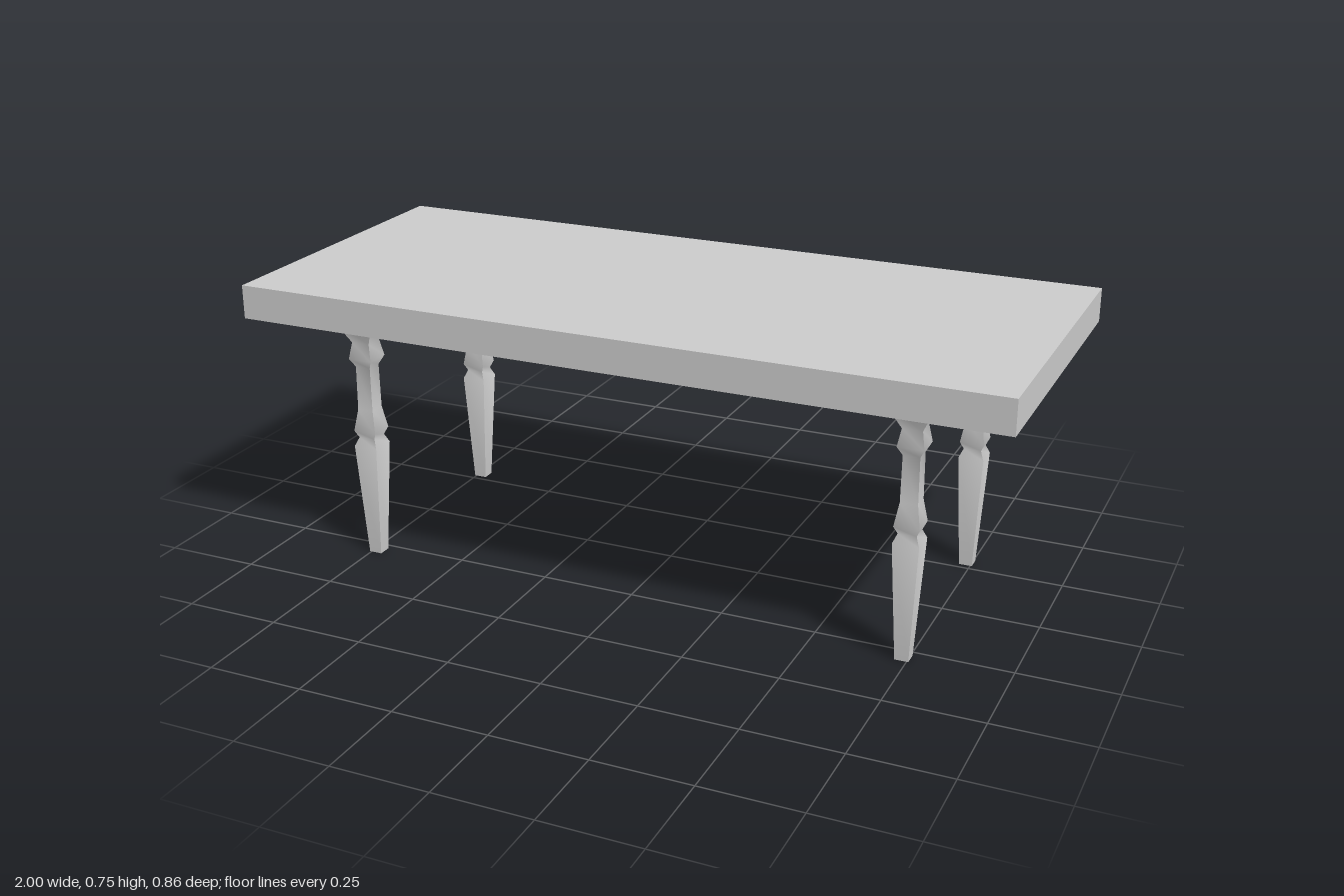
import * as THREE from 'three';
import { toCreasedNormals } from 'three/addons/utils/BufferGeometryUtils.js';

export function createModel() {
  const model = new THREE.Group();
  model.name = 'table';
  const material = new THREE.MeshStandardMaterial({ color: 0xcccccc });

  // Table top: a plain thick slab
  const top = new THREE.Mesh(new THREE.BoxGeometry(2, 0.088, 0.864), material);
  top.name = 'tableTop';
  top.position.y = 0.711;
  model.add(top);

  // Leg profile as [half width, height], from foot to flared head
  const profile = [
    [0, 0], [0.0175, 0], [0.033, 0.31], [0.023, 0.333], [0.032, 0.353],
    [0.022, 0.412], [0.021, 0.53], [0.033, 0.553], [0.025, 0.597], [0.06, 0.667],
  ];
  // Four-sided lathe gives a square section; corners stay sharp
  const points = profile.map(([half, y]) => new THREE.Vector2(half * Math.SQRT2, y));
  const legGeometry = toCreasedNormals(
    new THREE.LatheGeometry(points, 4, Math.PI / 4), THREE.MathUtils.degToRad(65));

  // Four legs mirrored about both axes
  for (const [sideName, x] of [['Left', 0.737], ['Right', -0.737]]) {
    for (const [endName, z] of [['front', 0.285], ['back', -0.285]]) {
      const leg = new THREE.Mesh(legGeometry, material);
      leg.name = endName + sideName + 'Leg';
      leg.position.set(x, 0, z);
      model.add(leg);
    }
  }
  return model;
}
